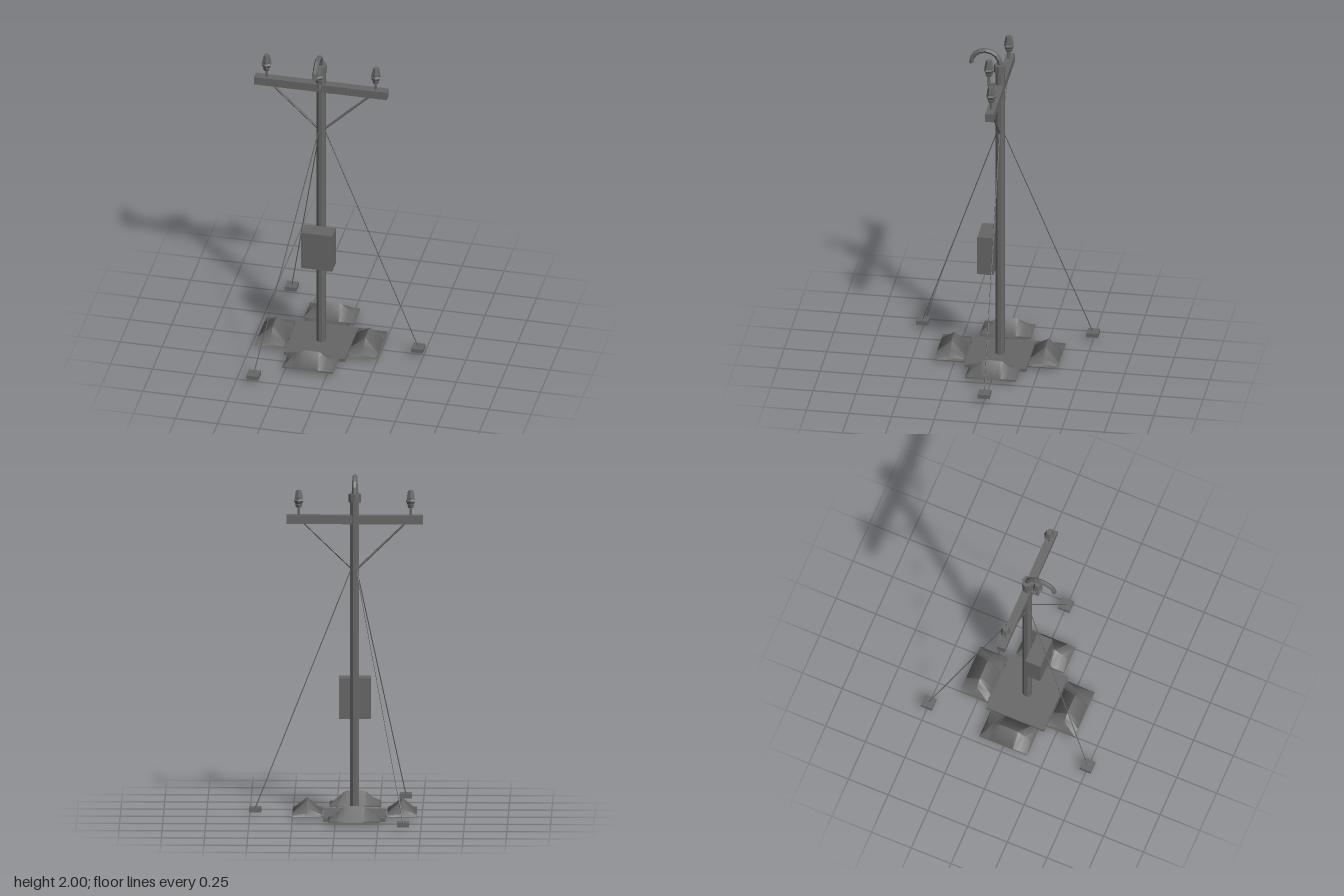
import * as THREE from 'three';
import { toCreasedNormals } from 'three/addons/utils/BufferGeometryUtils.js';

const flat = new THREE.MeshStandardMaterial({ color: 0x666666, flatShading: true });
const smooth = new THREE.MeshStandardMaterial({ color: 0x666666 });
const POLE_X = -0.11;

export function createModel() {
  const model = new THREE.Group();
  model.name = 'utilityPole';

  const add = (name, geometry, x = 0, y = 0, z = 0, material = flat) => {
    const mesh = new THREE.Mesh(geometry, material);
    mesh.name = name;
    mesh.position.set(x, y, z);
    model.add(mesh);
    return mesh;
  };
  const box = (name, w, h, d, x, y, z) => add(name, new THREE.BoxGeometry(w, h, d), x, y, z);

  // Straight round bar between two points
  const rod = (name, from, to, radius, sides = 6) => {
    const a = new THREE.Vector3(...from);
    const b = new THREE.Vector3(...to);
    const dir = b.clone().sub(a);
    const mesh = add(name, new THREE.CylinderGeometry(radius, radius, dir.length(), sides));
    mesh.position.copy(a).add(b).multiplyScalar(0.5);
    mesh.quaternion.setFromUnitVectors(new THREE.Vector3(0, 1, 0), dir.normalize());
    return mesh;
  };

  // Base plate and eight-sided pole with collar
  box('basePlate', 0.36, 0.02, 0.36, POLE_X, 0.01, 0);
  const pole = add('pole', new THREE.CylinderGeometry(0.028, 0.028, 1.88, 8), POLE_X, 0.96, 0);
  pole.rotation.y = Math.PI / 8;
  add('poleCollar', new THREE.CylinderGeometry(0.035, 0.035, 0.05, 8), POLE_X, 1.875, 0);

  // Sandbags: flat slab whose middle row rises into a ridge
  const bagGeometry = () => {
    const g = new THREE.BoxGeometry(8, 0.01, 0.17, 8, 1, 2);
    const p = g.attributes.position;
    const stations = [0, 0.045, 0.06, 0.1, 0.15];
    const rise = [0.075, 0.073, 0.07, 0.036, 0.005];
    for (let i = 0; i < p.count; i++) {
      const k = Math.round(p.getX(i));
      const n = Math.abs(k);
      const onRidge = p.getY(i) > 0 && Math.abs(p.getZ(i)) < 0.01;
      const x = onRidge && n === 4 ? 0.137 : stations[n];
      p.setX(i, Math.sign(k) * x);
      if (onRidge) p.setY(i, 0.005 + rise[n]);
    }
    return toCreasedNormals(g, 0.9);
  };
  for (const [side, x, z] of [['left', 0.275, 0], ['right', -0.275, 0], ['front', 0, 0.275], ['back', 0, -0.275]]) {
    const bag = add(side + 'Sandbag', bagGeometry(), POLE_X + x, 0.03, z, smooth);
    if (x) bag.rotation.y = Math.PI / 2;
  }

  // Junction box on the front of the pole
  box('junctionBox', 0.185, 0.24, 0.095, POLE_X, 0.69, 0.0725);

  // Crossarm with two diagonal braces
  box('crossarm', 0.79, 0.05, 0.05, POLE_X, 1.75, 0);
  for (const s of [-1, 1]) {
    rod('crossarmBrace', [POLE_X + s * 0.29, 1.725, 0], [POLE_X + s * 0.01, 1.455, 0], 0.007);
  }

  // Insulators on pins, the middle one on a front bracket
  const profile = [[0, 0], [0.017, 0], [0.023, 0.018], [0.022, 0.022], [0.032, 0.04],
    [0.026, 0.05], [0.026, 0.06], [0.018, 0.1], [0, 0.1]].map(([r, y]) => new THREE.Vector2(r, y));
  for (const [x, z] of [[-0.325, 0], [0.325, 0], [0, 0.065]]) {
    rod('insulatorPin', [POLE_X + x, 1.76, z], [POLE_X + x, 1.83, z], 0.008);
    add('insulator', new THREE.LatheGeometry(profile, 6), POLE_X + x, 1.82, z);
  }
  box('insulatorBracket', 0.02, 0.016, 0.075, POLE_X, 1.765, 0.037);

  // Curved weatherhead pipe at the top
  class HookCurve extends THREE.Curve {
    getPoint(t, out = new THREE.Vector3()) {
      const a = Math.PI * t;
      return out.set(0, 0.085 * Math.sin(a), 0.085 * (1 - Math.cos(a)));
    }
  }
  add('weatherheadPipe', new THREE.TubeGeometry(new HookCurve(), 8, 0.015, 6), POLE_X, 1.9, 0);
  const end = add('pipeEnd', new THREE.CircleGeometry(0.015, 6), POLE_X, 1.9, 0.17);
  end.rotation.x = Math.PI / 2;

  // Three guy wires and their ground anchors
  for (let i = 0; i < 3; i++) {
    const a = (i * Math.PI * 2) / 3;
    const c = Math.cos(a);
    const s = Math.sin(a);
    const x = POLE_X + 0.577 * c;
    const z = 0.577 * s;
    rod('guyWire', [POLE_X + 0.02 * c, 1.46, 0.02 * s], [x, 0.05, z], 0.003, 5);
    box('groundAnchor', 0.07, 0.025, 0.07, x, 0.0425, z);
  }

  return model;
}
